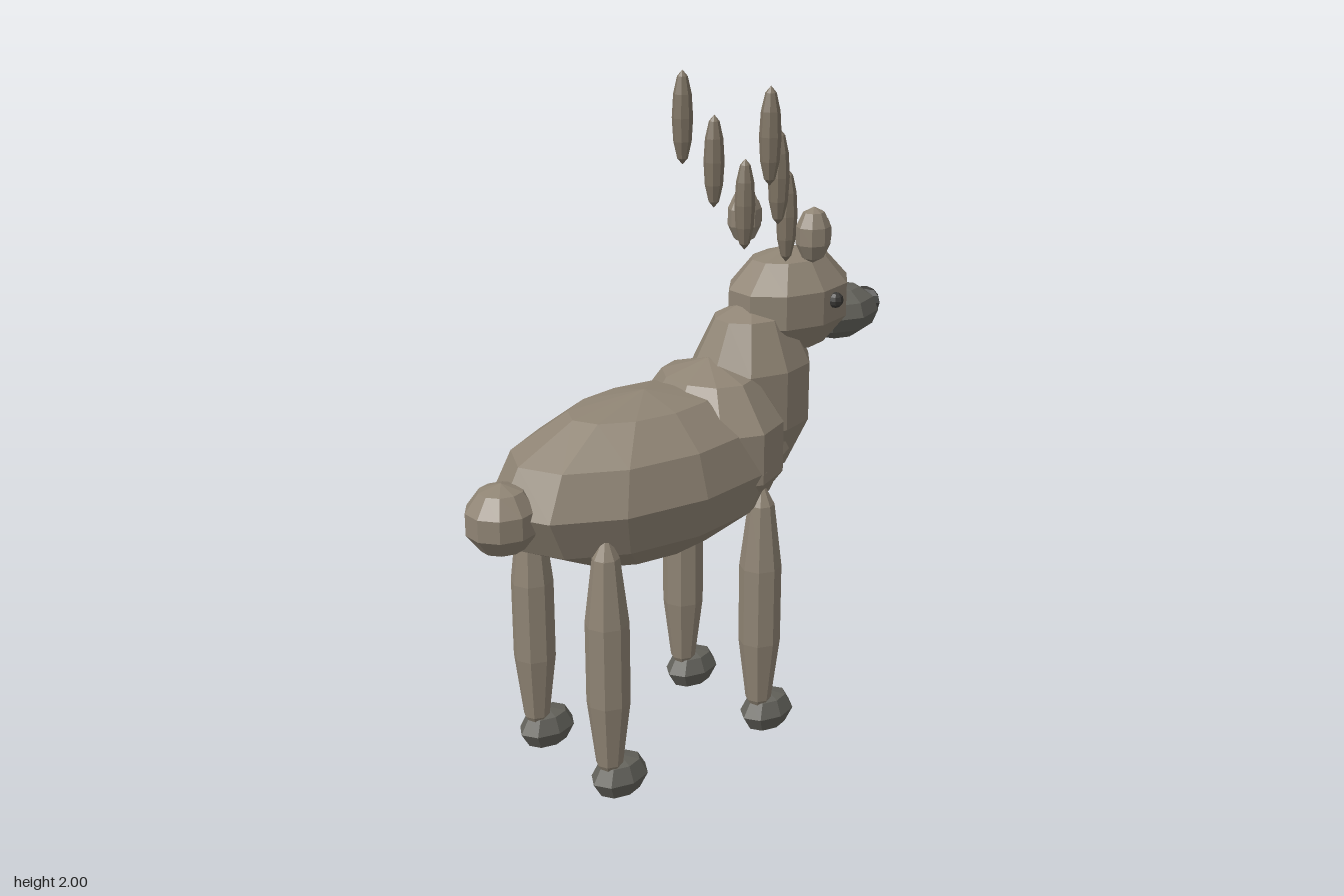
import * as THREE from 'three';

const material = (name, color) => {
  const m = new THREE.MeshStandardMaterial({ color, flatShading: true });
  m.name = name;
  return m;
};

export function createModel() {
  const model = new THREE.Group();
  model.name = 'deer';

  const hide = material('hide', 0x8f8474);
  const antlerBrown = material('antlerBrown', 0x7f7464);
  const darkGrey = material('darkGrey', 0x64635c);
  const nearBlack = material('nearBlack', 0x3a3936);

  // Faceted ellipsoid: centre, radii, sides around and rings
  const blob = (name, mat, [x, y, z], [rx, ry, rz], sides = 10, rings = 5) => {
    const geometry = new THREE.SphereGeometry(1, sides, rings);
    geometry.scale(rx, ry, rz);
    const mesh = new THREE.Mesh(geometry, mat);
    mesh.name = name;
    mesh.position.set(x, y, z);
    model.add(mesh);
  };

  // Same part on both sides
  const pair = (name, mat, [x, y, z], radii, sides, rings) => {
    blob(name + 'Left', mat, [x, y, z], radii, sides, rings);
    blob(name + 'Right', mat, [-x, y, z], radii, sides, rings);
  };

  // Trunk, neck and tail
  blob('body', hide, [0, 0.9, 0.16], [0.28, 0.25, 0.51], 12, 6);
  blob('chest', hide, [0, 0.945, -0.08], [0.26, 0.25, 0.215]);
  blob('neck', hide, [0, 1.06, -0.25], [0.17, 0.29, 0.21]);
  blob('tail', hide, [0, 0.89, 0.66], [0.103, 0.105, 0.11]);

  // Head and face
  blob('head', hide, [0, 1.315, -0.4], [0.16, 0.165, 0.22]);
  blob('muzzle', darkGrey, [0, 1.237, -0.61], [0.115, 0.085, 0.14], 8, 6);
  blob('nose', nearBlack, [0, 1.245, -0.742], [0.055, 0.043, 0.023], 8, 6);
  pair('eye', nearBlack, [0.145, 1.33, -0.455], [0.024, 0.024, 0.024], 8, 6);

  // Ears with their inner faces towards the nose
  pair('ear', hide, [0.148, 1.546, -0.352], [0.05, 0.083, 0.056], 8, 5);
  pair('innerEar', antlerBrown, [0.148, 1.546, -0.385], [0.03, 0.055, 0.03], 8, 5);

  // Antlers: three slim spindles climbing outwards and back
  for (let i = 0; i < 3; i++) {
    pair('antler' + (i + 1), antlerBrown,
      [0.09 + i * 0.048, 1.6 + i * 0.1315, -0.3 + i * 0.08],
      [0.03, 0.137, 0.032], 8, 6);
  }

  // Legs and hooves
  for (const [name, z] of [['front', -0.135], ['rear', 0.445]]) {
    pair(name + 'Leg', hide, [0.18, 0.45, z], [0.065, 0.4, 0.068], 8, 5);
    pair(name + 'Hoof', darkGrey, [0.18, 0.07, z - 0.036], [0.066, 0.067, 0.095], 8, 4);
  }

  return model;
}
